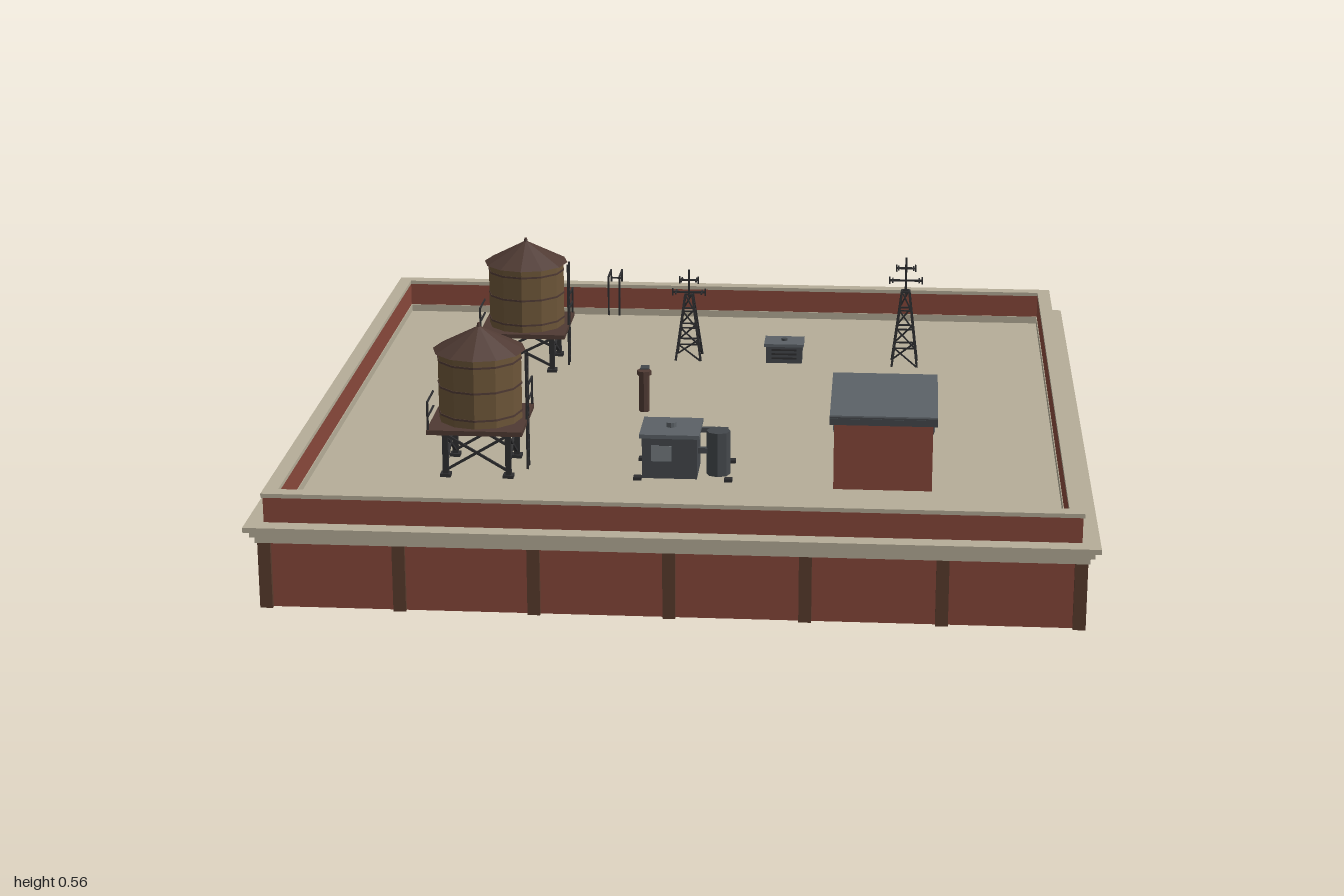
import * as THREE from 'three';

const mat = (name, color) => { const m = new THREE.MeshStandardMaterial({ color }); m.name = name; return m; };

export function createModel() {
  const root = new THREE.Group();
  root.name = 'rooftop';
  const brick = mat('brick', 0x88483b), pier = mat('pier brown', 0x5a3c2d), stone = mat('stone', 0xb5ad98);
  const wood = mat('wood', 0x6c5538), brown = mat('dark brown', 0x4f3a33), steel = mat('steel', 0x5b6166);
  const dark = mat('dark steel', 0x44484c), iron = mat('iron', 0x2e2e30), pane = mat('pane', 0x767c80);
  const DECK = 0.19;

  const add = (parent, name, geo, m, x = 0, y = 0, z = 0) => {
    const mesh = new THREE.Mesh(geo, m);
    mesh.name = name;
    mesh.position.set(x, y, z);
    parent.add(mesh);
    return mesh;
  };
  const group = (name, x = 0, y = 0, z = 0) => {
    const g = new THREE.Group();
    g.name = name;
    g.position.set(x, y, z);
    root.add(g);
    return g;
  };
  // Box standing on y0
  const box = (p, name, m, w, h, d, x, y0, z) => add(p, name, new THREE.BoxGeometry(w, h, d), m, x, y0 + h / 2, z);
  // Faceted cylinder standing on y0
  const cyl = (p, name, m, rt, rb, h, n, x, y0, z) =>
    add(p, name, new THREE.CylinderGeometry(rt, rb, h, n).toNonIndexed(), m, x, y0 + h / 2, z).geometry.computeVertexNormals();
  // Square bar between two points
  const bar = (p, name, m, a, b, t = 0.006) => {
    const A = new THREE.Vector3(...a), B = new THREE.Vector3(...b), d = B.clone().sub(A);
    const mesh = add(p, name, new THREE.BoxGeometry(t, d.length(), t), m);
    mesh.position.copy(A).add(B).multiplyScalar(0.5);
    mesh.quaternion.setFromUnitVectors(new THREE.Vector3(0, 1, 0), d.normalize());
  };
  // Square frame of four strips
  const ring = (p, name, m, outer, inner, y0, y1) => {
    const t = outer - inner, c = (outer + inner) / 2, h = y1 - y0;
    for (const s of [-1, 1]) {
      box(p, name, m, 2 * outer, h, t, 0, y0, s * c);
      box(p, name, m, t, h, 2 * inner, s * c, y0, 0);
    }
  };

  // Building, cornice and parapet
  const building = group('building');
  box(building, 'walls', brick, 1.91, 0.18, 1.91, 0, 0, 0);
  box(building, 'roofDeck', stone, 1.9, 0.01, 1.9, 0, DECK - 0.01, 0);
  ring(building, 'corniceLower', stone, 0.972, 0.92, 0.165, 0.182);
  ring(building, 'corniceMiddle', stone, 0.982, 0.92, 0.182, 0.198);
  ring(building, 'corniceTop', stone, 0.995, 0.92, 0.198, 0.21);
  ring(building, 'parapet', brick, 0.953, 0.926, 0.21, 0.272);
  ring(building, 'parapetCap', stone, 0.957, 0.922, 0.272, 0.282);
  ring(building, 'parapetInnerFace', brick, 0.926, 0.922, DECK, 0.272);
  for (let i = -3; i <= 3; i++) for (const s of [-1, 1]) {
    const c = i * 0.3175;
    box(building, 'pier', pier, 0.03, 0.165, 0.03, c, 0, s * 0.952);
    if (Math.abs(i) < 3) box(building, 'pier', pier, 0.03, 0.165, 0.03, s * 0.952, 0, c);
  }

  // Access ladder over the back parapet
  const ladder = group('accessLadder', -0.318, 0, 0);
  for (const x of [-0.016, 0.016]) {
    bar(ladder, 'ladderRail', iron, [x, 0.01, -0.997], [x, 0.308, -0.997], 0.005);
    bar(ladder, 'ladderTopRail', iron, [x, 0.306, -0.999], [x, 0.306, -0.915], 0.005);
    bar(ladder, 'ladderReturn', iron, [x, 0.306, -0.917], [x, DECK, -0.917], 0.005);
  }
  for (let y = 0.03; y < 0.3; y += 0.028) bar(ladder, 'ladderRung', iron, [-0.016, y, -0.997], [0.016, y, -0.997], 0.004);

  // Water towers on braced legs
  const waterTower = (x, z, lift) => {
    const g = group('waterTower', x, DECK, z), top = 0.11 + lift;
    const c = [[-1, -1], [1, -1], [1, 1], [-1, 1]];
    c.forEach(([a, b], i) => {
      const [a2, b2] = c[(i + 1) % 4], r = 0.078;
      bar(g, 'leg', iron, [a * r, 0, b * r], [a * r, top, b * r], 0.014);
      bar(g, 'brace', iron, [a * r, 0.015, b * r], [a2 * r, top - 0.01, b2 * r], 0.006);
      bar(g, 'brace', iron, [a2 * r, 0.015, b2 * r], [a * r, top - 0.01, b * r], 0.006);
      box(g, 'foot', iron, 0.026, 0.008, 0.026, a * r, 0, b * r);
    });
    box(g, 'platform', brown, 0.236, 0.012, 0.236, 0, top, 0);
    cyl(g, 'tank', wood, 0.104, 0.104, 0.18, 12, 0, top + 0.012, 0);
    for (const y of [0.03, 0.1, 0.165]) cyl(g, 'hoop', brown, 0.1055, 0.1055, 0.005, 12, 0, top + y, 0);
    cyl(g, 'tankRoof', brown, 0.004, 0.115, 0.058, 12, 0, top + 0.188, 0);
    cyl(g, 'finial', brown, 0.004, 0.006, 0.012, 6, 0, top + 0.243, 0);
    // corner handrails
    for (const s of [-1, 1]) {
      const p = s * 0.114;
      bar(g, 'railPost', iron, [p, top, -p], [p, top + 0.085, -p], 0.005);
      for (const y of [0.045, 0.083]) {
        bar(g, 'handrail', iron, [p, top + y, -p], [p, top + y, -p * 0.2], 0.004);
      }
    }
    // tank ladder
    for (const s of [-0.014, 0.014]) bar(g, 'towerLadderRail', iron, [0.117, 0, s], [0.117, top + 0.185, s], 0.005);
    for (let y = 0.02; y < top + 0.18; y += 0.024) bar(g, 'towerLadderRung', iron, [0.117, y, -0.014], [0.117, y, 0.014], 0.004);
  };
  waterTower(-0.51, 0.46, 0.008);
  waterTower(-0.51, -0.425, -0.006);

  // Lattice antenna masts
  const antenna = (x, z, h, mast) => {
    const g = group('antenna', x, DECK, z);
    const c = [[-1, -1], [1, -1], [1, 1], [-1, 1]], r = (t) => 0.035 - 0.025 * t, N = 4;
    c.forEach(([a, b], i) => {
      const [a2, b2] = c[(i + 1) % 4];
      bar(g, 'mastLeg', iron, [a * r(0), 0, b * r(0)], [a * r(1), h, b * r(1)], 0.006);
      for (let k = 0; k < N; k++) {
        const t = k / N, u = (k + 1) / N;
        bar(g, 'lattice', iron, [a * r(t), t * h, b * r(t)], [a2 * r(u), u * h, b2 * r(u)], 0.004);
        bar(g, 'crossTie', iron, [a * r(u), u * h, b * r(u)], [a2 * r(u), u * h, b2 * r(u)], 0.004);
      }
    });
    bar(g, 'mast', iron, [0, h - 0.01, 0], [0, mast, 0], 0.006);
    [[mast - 0.065, 0.045], [mast - 0.03, 0.026]].forEach(([y, w]) => {
      bar(g, 'crossArm', iron, [-w, y, 0], [w, y, 0], 0.005);
      for (const s of [-1, 1]) {
        bar(g, 'element', iron, [s * w, y - 0.01, 0], [s * w, y + 0.01, 0], 0.004);
        bar(g, 'element', iron, [s * w * 0.8, y, -0.02], [s * w * 0.8, y, 0.02], 0.004);
      }
    });
  };
  antenna(-0.065, -0.508, 0.185, 0.255);
  antenna(0.538, -0.492, 0.21, 0.305);

  // Low air units
  for (const [x, z] of [[0.203, -0.506], [0.49, -0.05]]) {
    const g = group('airUnit', x, DECK, z);
    box(g, 'unitBody', dark, 0.1, 0.05, 0.072, 0, 0, 0);
    box(g, 'unitLid', steel, 0.11, 0.008, 0.082, 0, 0.048, 0);
    cyl(g, 'unitCap', dark, 0.008, 0.008, 0.006, 8, 0, 0.056, 0);
    for (const s of [-1, 1]) for (let k = 0; k < 3; k++) box(g, 'louvre', iron, 0.07, 0.005, 0.004, 0, 0.012 + k * 0.012, s * 0.036);
  }

  // Vent pipe with a hooded outlet
  const vent = group('ventPipe', -0.146, DECK, -0.015);
  cyl(vent, 'pipe', brown, 0.014, 0.014, 0.112, 8, 0, 0, 0);
  cyl(vent, 'pipeCollar', brown, 0.019, 0.019, 0.012, 8, 0, 0.1, 0);
  box(vent, 'outlet', dark, 0.022, 0.022, 0.032, 0, 0.093, -0.022);

  // Machine cabinet with side tank
  const cabinet = group('machineCabinet', -0.035, DECK, 0.457);
  box(cabinet, 'cabinetBody', dark, 0.136, 0.105, 0.128, 0, 0, 0);
  box(cabinet, 'cabinetTop', steel, 0.148, 0.01, 0.142, 0, 0.105, 0);
  cyl(cabinet, 'cabinetVent', steel, 0.013, 0.013, 0.012, 10, 0, 0.115, 0);
  box(cabinet, 'cabinetDoor', pane, 0.035, 0.075, 0.004, 0.02, 0.01, -0.065);
  box(cabinet, 'cabinetPanel', pane, 0.05, 0.04, 0.004, -0.02, 0.045, 0.064);
  box(cabinet, 'rearBox', dark, 0.05, 0.05, 0.012, -0.02, 0.03, -0.068);
  cyl(cabinet, 'sideTank', dark, 0.03, 0.03, 0.112, 8, 0.118, 0, 0.015);
  bar(cabinet, 'connector', dark, [0.06, 0.1, -0.025], [0.14, 0.1, -0.025], 0.012);
  bar(cabinet, 'connector', dark, [0.06, 0.06, 0.015], [0.11, 0.06, 0.015], 0.014);
  for (const x of [-0.078, 0.146]) for (const z of [-0.072, 0.073]) box(cabinet, 'pad', iron, 0.02, 0.008, 0.02, x, 0, z);

  // Brick shed with a sloped roof, higher at the back
  const shed = group('stairShed', 0.49, DECK, 0.43);
  const side = new THREE.Shape([[-0.138, 0], [0.135, 0], [0.135, 0.196], [-0.138, 0.172]].map((p) => new THREE.Vector2(...p)));
  const walls = add(shed, 'shedWalls', new THREE.ExtrudeGeometry(side, { depth: 0.24, bevelEnabled: false }), brick, -0.12, 0, 0);
  walls.rotation.y = Math.PI / 2;
  const roof = box(shed, 'shedRoof', steel, 0.262, 0.014, 0.296, 0, 0.183, 0);
  roof.rotation.x = Math.atan(0.024 / 0.273);
  box(shed, 'gutter', dark, 0.262, 0.02, 0.012, 0, 0.168, 0.142);
  box(shed, 'shedDoor', dark, 0.075, 0.14, 0.006, -0.005, 0, -0.136);
  for (const s of [-1, 1]) {
    box(shed, 'windowFrame', dark, 0.004, 0.046, 0.068, s * 0.121, 0.115, 0.01);
    box(shed, 'windowPane', pane, 0.004, 0.038, 0.06, s * 0.123, 0.119, 0.01);
  }
  return root;
}
